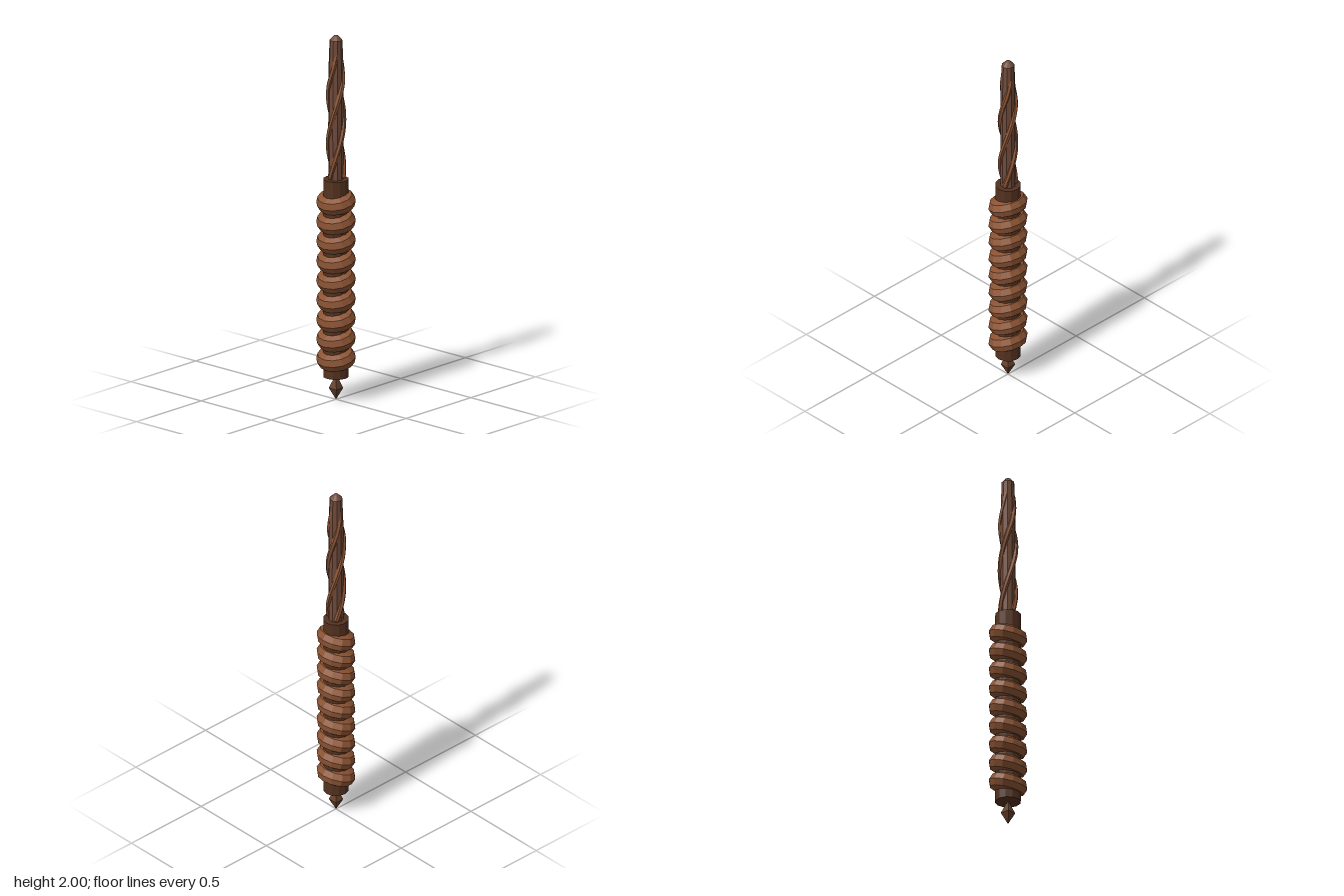
import * as THREE from 'three';

export function createModel() {
  const model = new THREE.Group();
  const mat = (name, color) => {
    const m = new THREE.MeshStandardMaterial({ color, flatShading: true });
    m.name = name;
    return m;
  };
  const wrap = mat('warm brown', 0x8b5333);
  const core = mat('dark brown', 0x54321f);
  const wood = mat('greyish brown', 0x6f4a3a);
  const point = mat('tip brown', 0x64402c);

  const add = (name, geometry, material, y = 0) => {
    const mesh = new THREE.Mesh(geometry, material);
    mesh.name = name;
    mesh.position.y = y;
    model.add(mesh);
    return mesh;
  };

  // Handle core
  add('handleCore', new THREE.CylinderGeometry(0.068, 0.068, 1.083, 12), core, 0.6685);

  // Nine slanted grip rings
  const ringShape = new THREE.TorusGeometry(0.064, 0.048, 8, 12);
  ringShape.rotateX(Math.PI / 2);
  ringShape.scale(0.885, 1, 1);
  ringShape.rotateZ(0.28);
  for (let i = 0; i < 9; i++) add('gripRing' + (i + 1), ringShape, wrap, 0.228 + i * 0.1073);

  // Four-sided spike below the handle
  const spike = [[0, 0], [0.038, 0.063], [0.005, 0.128]].map(p => new THREE.Vector2(...p));
  add('bottomSpike', new THREE.LatheGeometry(spike, 4, Math.PI / 4), point);

  // Tapered shaft with a blunt pointed end
  const shaft = [[0.04, 1.2], [0.041, 1.5], [0.039, 1.83], [0.034, 1.972], [0.012, 1.995], [0, 2]]
    .map(p => new THREE.Vector2(...p));
  add('shaft', new THREE.LatheGeometry(shaft, 10), wood);

  // Three twisted strands winding up the shaft, sinking into it at the top
  for (let s = 0; s < 3; s++) {
    const points = [];
    for (let i = 0; i <= 16; i++) {
      const t = i / 16;
      const y = 1.22 + 0.68 * t;
      const a = Math.PI + (y - 1.31) / 0.8 * Math.PI * 2 + s * Math.PI * 2 / 3;
      const r = 0.04 - 0.016 * Math.max(0, (t - 0.75) / 0.25);
      points.push(new THREE.Vector3(Math.sin(a) * r, y, Math.cos(a) * r));
    }
    const path = new THREE.CatmullRomCurve3(points);
    add('twistedStrand' + (s + 1), new THREE.TubeGeometry(path, 28, 0.014, 6), wrap);
  }

  return model;
}
